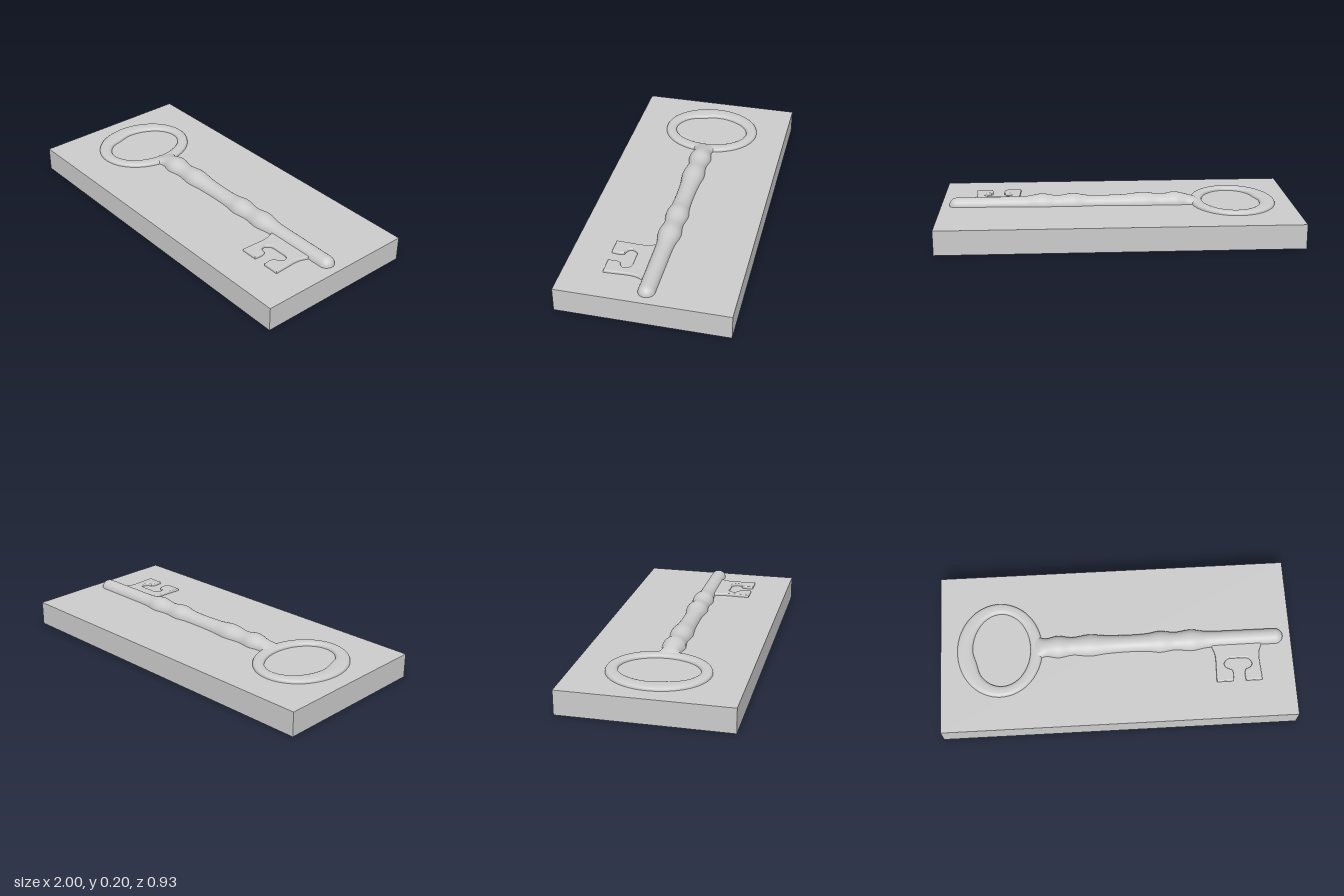
import * as THREE from 'three';

const TOP = 0.137; // upper face of the slab
const CZ = -0.006; // key axis

// Skin a grid of points: rows run along the part, columns across it
function skin(rows) {
  const cols = rows[0].length, index = [];
  for (let i = 0; i < rows.length - 1; i++) {
    for (let j = 0; j < cols - 1; j++) {
      const a = i * cols + j, b = a + cols;
      index.push(a, b, a + 1, b, b + 1, a + 1);
    }
  }
  const geo = new THREE.BufferGeometry();
  geo.setAttribute('position', new THREE.Float32BufferAttribute(rows.flat(2), 3));
  geo.setIndex(index);
  geo.computeVertexNormals();
  return geo;
}

// Shaft: half-round sections, with swellings, a flared neck and a round tip
function shaftGeometry() {
  // position along x, half width, height
  const profile = [
    [-0.48, 0.085, 0.012], [-0.455, 0.078, 0.024], [-0.43, 0.062, 0.036], [-0.4, 0.053, 0.045],
    [-0.33, 0.065, 0.06], [-0.25, 0.053, 0.049], [-0.15, 0.064, 0.06], [-0.05, 0.054, 0.05],
    [0.1, 0.05, 0.046], [0.18, 0.053, 0.049], [0.25, 0.063, 0.06], [0.34, 0.053, 0.049],
    [0.43, 0.063, 0.06], [0.52, 0.049, 0.047], [0.7, 0.046, 0.045], [0.91, 0.045, 0.044],
  ];
  const curve = new THREE.CatmullRomCurve3(profile.map((p) => new THREE.Vector3(...p)), false, 'centripetal');
  const sections = curve.getPoints(120).map((p) => p.toArray());
  for (let i = 1; i <= 8; i++) {
    const a = (i / 8) * Math.PI / 2;
    sections.push([0.91 + 0.045 * Math.sin(a), 0.045 * Math.cos(a), 0.044 * Math.cos(a)]);
  }
  return skin(sections.map(([x, w, h]) => Array.from({ length: 21 }, (_, j) => {
    const t = (j / 20) * Math.PI;
    return [x, TOP + h * Math.sin(t), CZ + w * Math.cos(t)];
  })));
}

// Bow: oval ring with a low rounded section and a slightly uneven hole
function bowGeometry() {
  const rows = [];
  for (let i = 0; i <= 96; i++) {
    const a = (i / 96) * Math.PI * 2, c = Math.cos(a), s = Math.sin(a);
    const dent = c < 0 ? 0.012 * Math.exp(-((s - 0.35) ** 2) / 0.06) : 0;
    const inner = [-0.653 + 0.165 * c + dent, CZ + 0.219 * s];
    const outer = [-0.6625 + 0.2425 * c, CZ + 0.281 * s];
    const row = [];
    for (let j = 0; j <= 14; j++) {
      const t = (j / 14) * Math.PI;
      const k = 0.5 - 0.5 * Math.sign(Math.cos(t)) * Math.abs(Math.cos(t)) ** 0.8;
      row.push([
        inner[0] + (outer[0] - inner[0]) * k,
        TOP + 0.021 * Math.sin(t) ** 0.7,
        inner[1] + (outer[1] - inner[1]) * k,
      ]);
    }
    rows.push(row);
  }
  return skin(rows);
}

// Bit: flat plate with a keyhole-like notch opening at its outer edge
function bitGeometry() {
  const s = new THREE.Shape();
  s.moveTo(0.55, 0.01);
  s.lineTo(0.55, 0.045);
  s.quadraticCurveTo(0.57, 0.08, 0.566, 0.14);
  s.lineTo(0.562, 0.246);
  s.lineTo(0.645, 0.246);
  s.quadraticCurveTo(0.652, 0.2, 0.642, 0.188);
  s.quadraticCurveTo(0.598, 0.18, 0.6, 0.145);
  s.quadraticCurveTo(0.615, 0.112, 0.64, 0.11);
  s.lineTo(0.73, 0.11);
  s.quadraticCurveTo(0.76, 0.115, 0.77, 0.145);
  s.quadraticCurveTo(0.772, 0.18, 0.732, 0.188);
  s.quadraticCurveTo(0.72, 0.2, 0.727, 0.246);
  s.lineTo(0.808, 0.246);
  s.lineTo(0.802, 0.14);
  s.quadraticCurveTo(0.798, 0.08, 0.82, 0.045);
  s.lineTo(0.82, 0.01);
  const geo = new THREE.ExtrudeGeometry(s, {
    depth: 0.02, bevelEnabled: true, bevelThickness: 0.008, bevelSize: 0.006, bevelSegments: 3, curveSegments: 8,
  });
  geo.rotateX(Math.PI / 2);
  geo.translate(0, TOP + 0.015 - 0.008, 0);
  return geo;
}

export function createModel() {
  const model = new THREE.Group();
  const material = new THREE.MeshStandardMaterial({ color: 0xcccccc });
  const add = (name, geo) => {
    const mesh = new THREE.Mesh(geo, material);
    mesh.name = name;
    model.add(mesh);
    return mesh;
  };

  add('baseSlab', new THREE.BoxGeometry(2, TOP, 0.93)).position.y = TOP / 2;
  add('keyBow', bowGeometry());
  add('keyShaft', shaftGeometry());
  add('keyBit', bitGeometry());
  return model;
}
